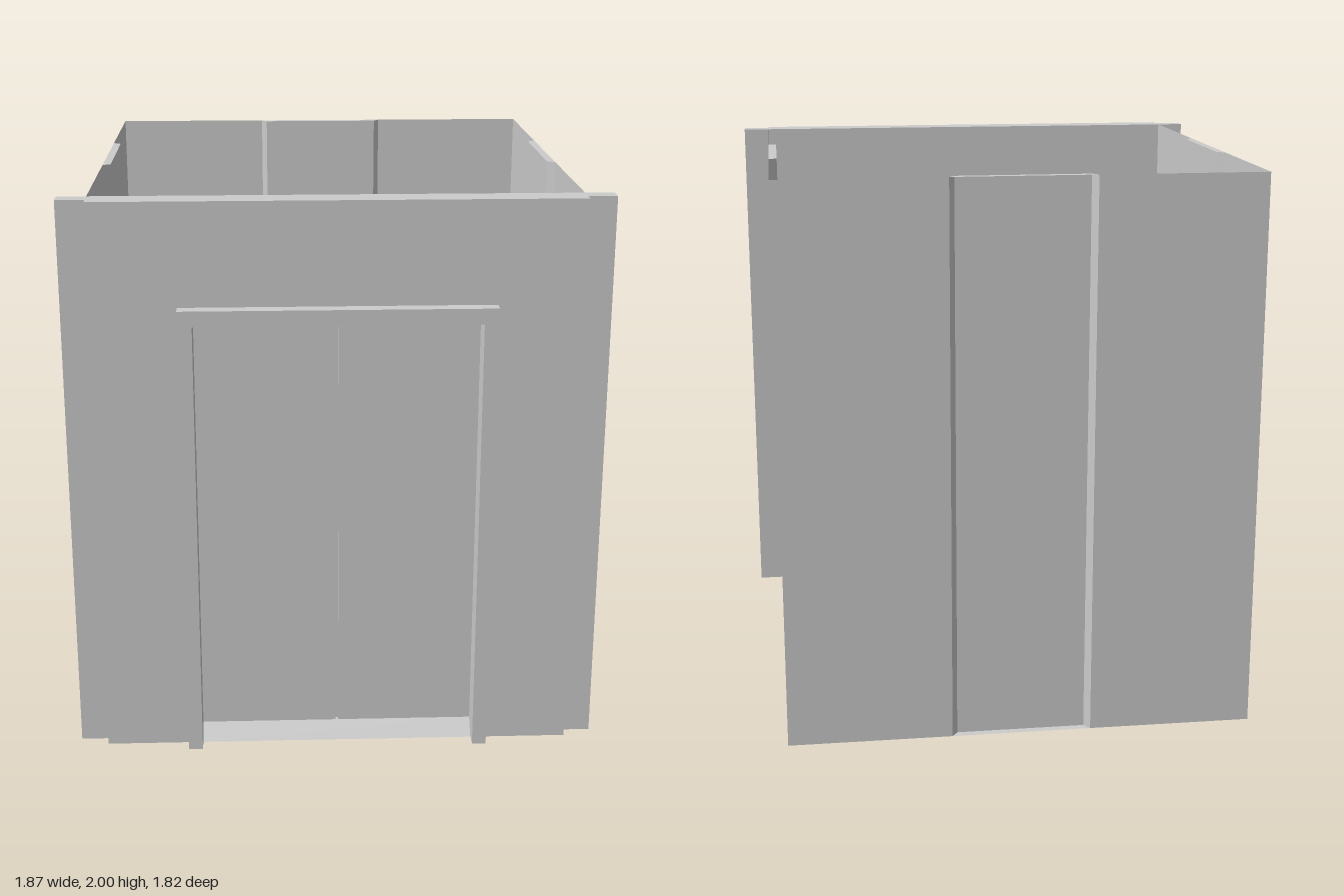
import * as THREE from 'three';

const H = 2;            // room height
const W = 0.835;        // half width of the room
const BACK = -0.91;     // back wall plane
const FRONT = 0.76;     // inner face of the front wall
const DOOR_X = 0.49, DOOR_TOP = 1.585, SILL = 0.055;

const solid = new THREE.MeshStandardMaterial({ color: 0xcccccc, flatShading: true });
const thin = new THREE.MeshStandardMaterial({ color: 0xcccccc, flatShading: true, side: THREE.DoubleSide });

function add(group, name, geometry, material = solid) {
  const mesh = new THREE.Mesh(geometry, material);
  mesh.name = name;
  group.add(mesh);
  return mesh;
}

// Box given by its limits on each axis
function block(x0, x1, y0, y1, z0, z1) {
  return new THREE.BoxGeometry(x1 - x0, y1 - y0, z1 - z0)
    .translate((x0 + x1) / 2, (y0 + y1) / 2, (z0 + z1) / 2);
}

// Upright slab with a doorway open at the floor
function doorwaySlab(halfWidth, top, z0, z1) {
  const shape = new THREE.Shape([
    [-halfWidth, 0], [-DOOR_X, 0], [-DOOR_X, DOOR_TOP], [DOOR_X, DOOR_TOP],
    [DOOR_X, 0], [halfWidth, 0], [halfWidth, top], [-halfWidth, top],
  ].map(([x, y]) => new THREE.Vector2(x, y)));
  return new THREE.ExtrudeGeometry(shape, { depth: z1 - z0, bevelEnabled: false }).translate(0, 0, z0);
}

// Thin full-height wall following a plan of [x, z] points
function wallRibbon(plan) {
  const pos = [];
  for (let i = 0; i < plan.length - 1; i++) {
    const [ax, az] = plan[i], [bx, bz] = plan[i + 1];
    pos.push(ax, 0, az, bx, 0, bz, bx, H, bz, ax, 0, az, bx, H, bz, ax, H, az);
  }
  const geometry = new THREE.BufferGeometry();
  geometry.setAttribute('position', new THREE.Float32BufferAttribute(pos, 3));
  geometry.computeVertexNormals();
  return geometry;
}

// Flat cap closing a recess at height y
function recessCap(plan, y) {
  const shape = new THREE.Shape(plan.map(([x, z]) => new THREE.Vector2(x, -z)));
  return new THREE.ShapeGeometry(shape).rotateX(-Math.PI / 2).translate(0, y, 0);
}

export function createModel() {
  const model = new THREE.Group();
  model.name = 'liftCabin';

  // Side and back walls, each with a shallow bevelled recess on the outside
  const depth = 0.028, slope = 0.02;
  const right = [[W, 0.17], [W - depth, 0.17 - slope], [W - depth, -0.33 + slope], [W, -0.33]];
  const back = [[0.25, BACK], [0.25 - slope, BACK + depth], [-0.25 + slope, BACK + depth], [-0.25, BACK]];
  const left = right.map(([x, z]) => [-x, z]);
  const walls = new THREE.Group();
  walls.name = 'walls';
  model.add(walls);
  add(walls, 'rightWall', wallRibbon([[W, FRONT], ...right, [W, BACK]]), thin);
  add(walls, 'backWall', wallRibbon([[W, BACK], ...back, [-W, BACK]]), thin);
  add(walls, 'leftWall', wallRibbon([[-W, FRONT], ...left, [-W, BACK]]), thin);
  for (const plan of [right, back, left])
    for (const y of [0, H]) add(walls, 'recessCap', recessCap(plan, y), thin);

  // Front wall in two stepped layers, and the door frame on it
  add(model, 'frontWall', doorwaySlab(0.935, H, FRONT, 0.82));
  add(model, 'frontFacing', doorwaySlab(W, H, 0.82, 0.86));
  add(model, 'doorFrame', doorwaySlab(0.54, 1.64, 0.86, 0.91));

  // Two sliding leaves with a narrow gap, backed by a plain panel
  const gap = 0.005;
  add(model, 'leftDoor', block(gap, DOOR_X, SILL, DOOR_TOP, 0.795, 0.81));
  add(model, 'rightDoor', block(-DOOR_X, -gap, SILL, DOOR_TOP, 0.795, 0.81));
  add(model, 'doorBacking', block(-DOOR_X, DOOR_X, SILL, DOOR_TOP, 0.785, 0.795));

  // Threshold sloping down to the outside: profile in (z, y), swept along x
  const profile = new THREE.Shape([[FRONT, 0], [0.86, 0], [0.81, SILL], [FRONT, SILL]]
    .map(([z, y]) => new THREE.Vector2(-z, y)).reverse());
  add(model, 'threshold', new THREE.ExtrudeGeometry(profile, { depth: 2 * DOOR_X, bevelEnabled: false })
    .rotateY(Math.PI / 2).translate(-DOOR_X, 0, 0));

  return model;
}
